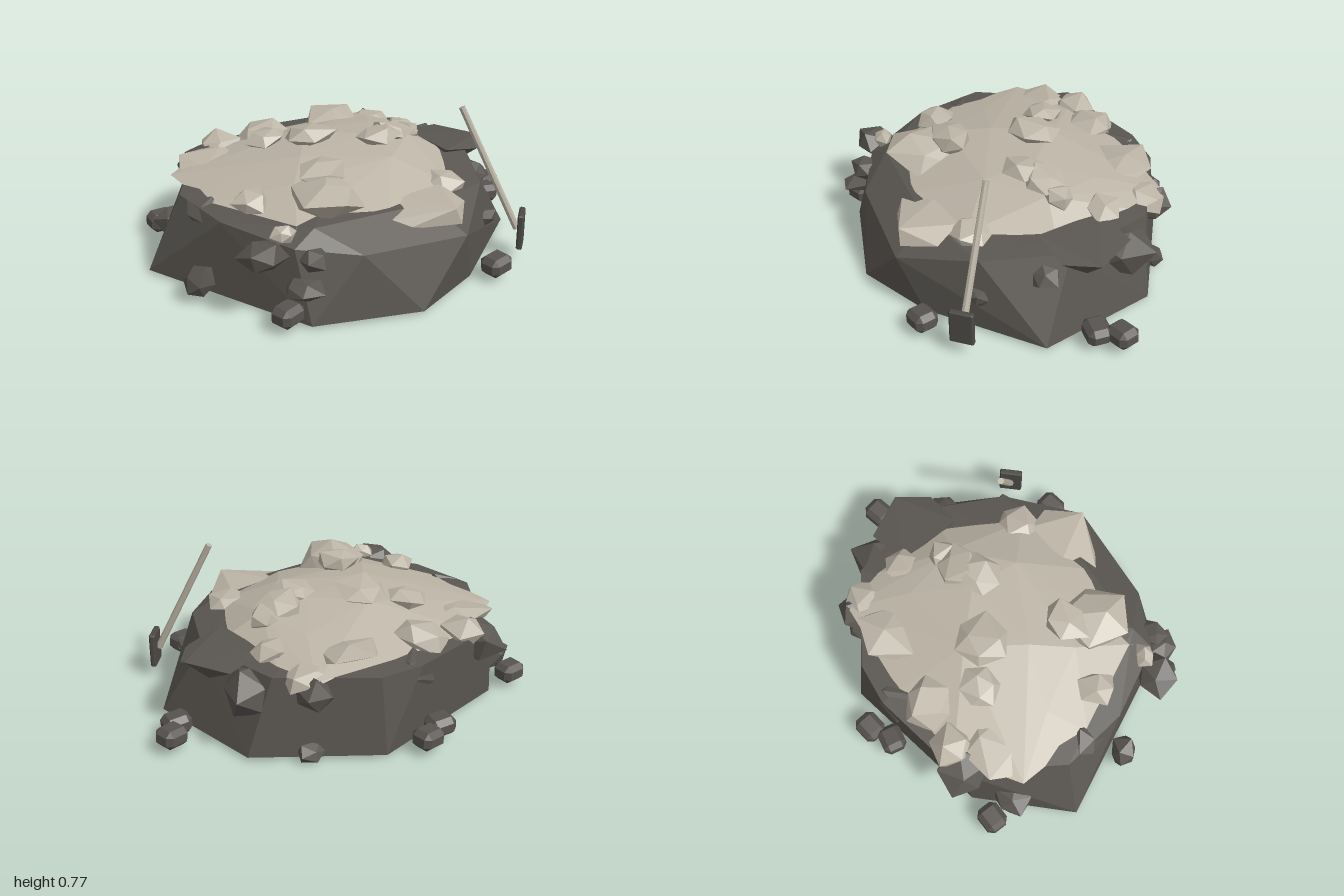
import * as THREE from 'three';
import { ConvexGeometry } from 'three/addons/geometries/ConvexGeometry.js';

const mat = (name, color) => new THREE.MeshStandardMaterial({ name, color, flatShading: true });

function seeded(seed) {
  let s = seed * 7919 + 17;
  return () => {
    s = (s * 16807) % 2147483647;
    return s / 2147483647;
  };
}

// Convex solid through a handful of corner points
const hull = (points) => new ConvexGeometry(points.map((p) => new THREE.Vector3(...p)));

// Box of half sizes a, b, c with its edges cut off by k
function chamferedBox(a, b, c, k) {
  const points = [];
  for (const x of [-1, 1]) for (const y of [-1, 1]) for (const z of [-1, 1]) {
    points.push(
      [x * a, y * (b - k), z * (c - k)],
      [x * (a - k), y * b, z * (c - k)],
      [x * (a - k), y * (b - k), z * c],
    );
  }
  return hull(points);
}

// Irregular low-poly rock: the corners of an icosahedron pushed in and out
function rockGeometry(seed) {
  const rand = seeded(seed);
  for (let i = 0; i < 5; i++) rand();
  const geo = new THREE.IcosahedronGeometry(1, 0);
  const pos = geo.attributes.position;
  const push = new Map();
  const v = new THREE.Vector3();
  for (let i = 0; i < pos.count; i++) {
    v.fromBufferAttribute(pos, i);
    const key = v.toArray().map((n) => Math.round(n * 100)).join();
    if (!push.has(key)) push.set(key, 0.75 + 0.5 * rand());
    v.multiplyScalar(push.get(key));
    pos.setXYZ(i, v.x, v.y, v.z);
  }
  geo.computeVertexNormals();
  return geo;
}

export function createModel() {
  const model = new THREE.Group();
  const coal = mat('dark coal', 0x5a5651);
  const lumpCoal = mat('lump coal', 0x575350);
  const ash = mat('pale ash', 0xbcb4a6);
  const wood = mat('weathered wood', 0xbab2a4);
  const iron = mat('dark iron', 0x4c4945);

  const add = (name, geo, material, parent = model) => {
    const mesh = new THREE.Mesh(geo, material);
    mesh.name = name;
    parent.add(mesh);
    return mesh;
  };
  const group = (name) => {
    const g = new THREE.Group();
    g.name = name;
    model.add(g);
    return g;
  };

  // Mound: wide base, steep sides, flat shoulder
  add('mound', hull([
    [-1, 0.025, -0.2], [-0.62, 0.025, -0.57], [0.17, 0.025, -0.7], [0.7, 0.025, -0.32],
    [0.79, 0.025, 0.29], [0.28, 0.025, 0.68], [-0.1, 0.025, 0.83], [-0.6, 0.025, 0.67],
    [-0.84, 0.41, -0.15], [-0.54, 0.41, -0.6], [-0.05, 0.42, -0.68], [0.17, 0.42, -0.65],
    [0.58, 0.43, -0.36], [0.66, 0.42, 0.1], [0.48, 0.39, 0.48], [0.18, 0.31, 0.77],
    [-0.35, 0.33, 0.71], [-0.62, 0.37, 0.56], [-0.5, 0.43, 0.53], [0.1, 0.42, 0.58],
    [-0.8, 0.4, 0.2], [0, 0.5, 0],
  ]), coal);

  // Ash cap lying over the top
  add('ashCap', hull([
    [-0.78, 0.41, -0.38], [-0.77, 0.41, 0.02], [-0.56, 0.42, 0.48], [-0.1, 0.43, 0.54], [0.3, 0.42, 0.46],
    [0.52, 0.43, 0.1], [0.51, 0.44, -0.3], [0.45, 0.44, -0.53], [-0.05, 0.43, -0.58], [-0.48, 0.42, -0.57],
    [-0.58, 0.47, -0.08], [-0.42, 0.51, 0.22], [0.1, 0.54, 0.26], [0.35, 0.53, 0.05], [0.3, 0.51, -0.25],
    [-0.1, 0.56, -0.22], [-0.28, 0.55, 0.04], [0.12, 0.56, 0],
  ]), ash);

  // Rocks: x, y, z, then half sizes
  const rocks = (name, material, list, seed) => {
    const g = group(name + 's');
    list.forEach(([x, y, z, a, b, c], i) => {
      const m = add(name, rockGeometry(seed + i), material, g);
      m.position.set(x, y, z);
      m.scale.set(a, b, c);
      m.rotation.set(0.15 * Math.sin(i * 2.1), i * 1.3, 0.15 * Math.cos(i * 1.7));
    });
  };
  rocks('ashRock', ash, [
    [-0.2, 0.45, -0.5, 0.15, 0.08, 0.14], [-0.44, 0.42, -0.53, 0.11, 0.08, 0.11],
    [-0.3, 0.54, -0.28, 0.12, 0.05, 0.11], [-0.13, 0.57, -0.13, 0.16, 0.06, 0.14],
    [0.14, 0.57, 0.06, 0.11, 0.05, 0.12], [0.25, 0.56, 0.02, 0.11, 0.05, 0.12],
    [0.36, 0.52, 0.0, 0.09, 0.05, 0.08], [-0.28, 0.55, 0.26, 0.13, 0.07, 0.12],
    [-0.33, 0.48, 0.37, 0.21, 0.1, 0.17], [-0.63, 0.45, 0.19, 0.08, 0.06, 0.1],
    [0.31, 0.41, 0.42, 0.12, 0.07, 0.1], [0.43, 0.42, -0.44, 0.1, 0.06, 0.12],
    [0.46, 0.44, -0.18, 0.09, 0.07, 0.09], [0.18, 0.45, -0.38, 0.22, 0.06, 0.17],
    [-0.64, 0.42, 0.49, 0.06, 0.05, 0.06], [-0.56, 0.42, -0.36, 0.17, 0.045, 0.18],
  ], 3);
  rocks('coalRock', coal, [
    [0.6, 0.31, -0.22, 0.15, 0.13, 0.16], [0.44, 0.36, -0.48, 0.11, 0.09, 0.11],
    [-0.53, 0.35, -0.55, 0.15, 0.11, 0.13], [-0.06, 0.36, -0.59, 0.14, 0.09, 0.11],
    [-0.74, 0.34, 0.5, 0.11, 0.08, 0.1], [-0.55, 0.33, 0.62, 0.08, 0.06, 0.07],
    [-0.62, 0.2, 0.62, 0.12, 0.05, 0.09], [0.63, 0.32, 0.22, 0.09, 0.06, 0.08],
    [0.5, 0.21, 0.5, 0.07, 0.05, 0.06], [-0.76, 0.14, -0.42, 0.1, 0.09, 0.1],
    [-0.79, 0.36, 0.01, 0.08, 0.07, 0.12], [-0.91, 0.11, 0.17, 0.08, 0.09, 0.08],
    [0.46, 0.055, -0.49, 0.08, 0.045, 0.07],
  ], 40);

  // Pale slab sliding over the front edge
  add('frontSlab', hull([
    [-0.13, 0.4, 0.6], [0.0, 0.44, 0.48], [0.24, 0.44, 0.47], [0.29, 0.39, 0.6], [0.14, 0.44, 0.73],
    [0.17, 0.36, 0.74], [-0.08, 0.36, 0.65], [0.1, 0.32, 0.62],
  ]), ash);

  // Pointed slab jutting from the right shoulder
  add('juttingSlab', hull([
    [0.81, 0.42, 0.02], [0.48, 0.45, -0.16], [0.5, 0.45, 0.18], [0.7, 0.42, -0.2],
    [0.7, 0.41, 0.17], [0.68, 0.29, 0.02], [0.5, 0.3, 0],
  ]), coal);

  // Loose lumps on the ground: x, y, z, turn
  const lumps = group('looseLumps');
  [
    [0.93, 0.09, -0.03, 0.2], [0.85, 0.085, 0.06, -0.15], [-0.02, 0.085, -0.77, 0.1],
    [-0.14, 0.085, -0.72, -0.2], [0.39, 0.085, 0.74, 0.15], [-0.77, 0.085, -0.56, 0],
    [-0.69, 0.09, 0.61, 0.3],
  ].forEach(([x, y, z, turn]) => {
    const lump = add('looseLump', chamferedBox(0.068, 0.048, 0.06, 0.026), lumpCoal, lumps);
    lump.position.set(x, y, z);
    lump.rotation.set(0, turn, 0.08 * Math.sin(turn * 9));
  });

  // Shovel leaning on the front corner
  const shovel = group('shovel');
  const top = new THREE.Vector3(0.41, 0.775, 0.4);
  const foot = new THREE.Vector3(0.605, 0.17, 0.625);
  const along = top.clone().sub(foot);
  const handle = add('shovelHandle', new THREE.CylinderGeometry(0.016, 0.018, along.length(), 8), wood, shovel);
  handle.position.copy(top).add(foot).multiplyScalar(0.5);
  handle.quaternion.setFromUnitVectors(new THREE.Vector3(0, 1, 0), along.normalize());
  const blade = add('shovelBlade', chamferedBox(0.06, 0.092, 0.015, 0.007), iron, shovel);
  blade.position.set(0.62, 0.17, 0.64);
  blade.rotation.y = Math.PI / 4;

  return model;
}
